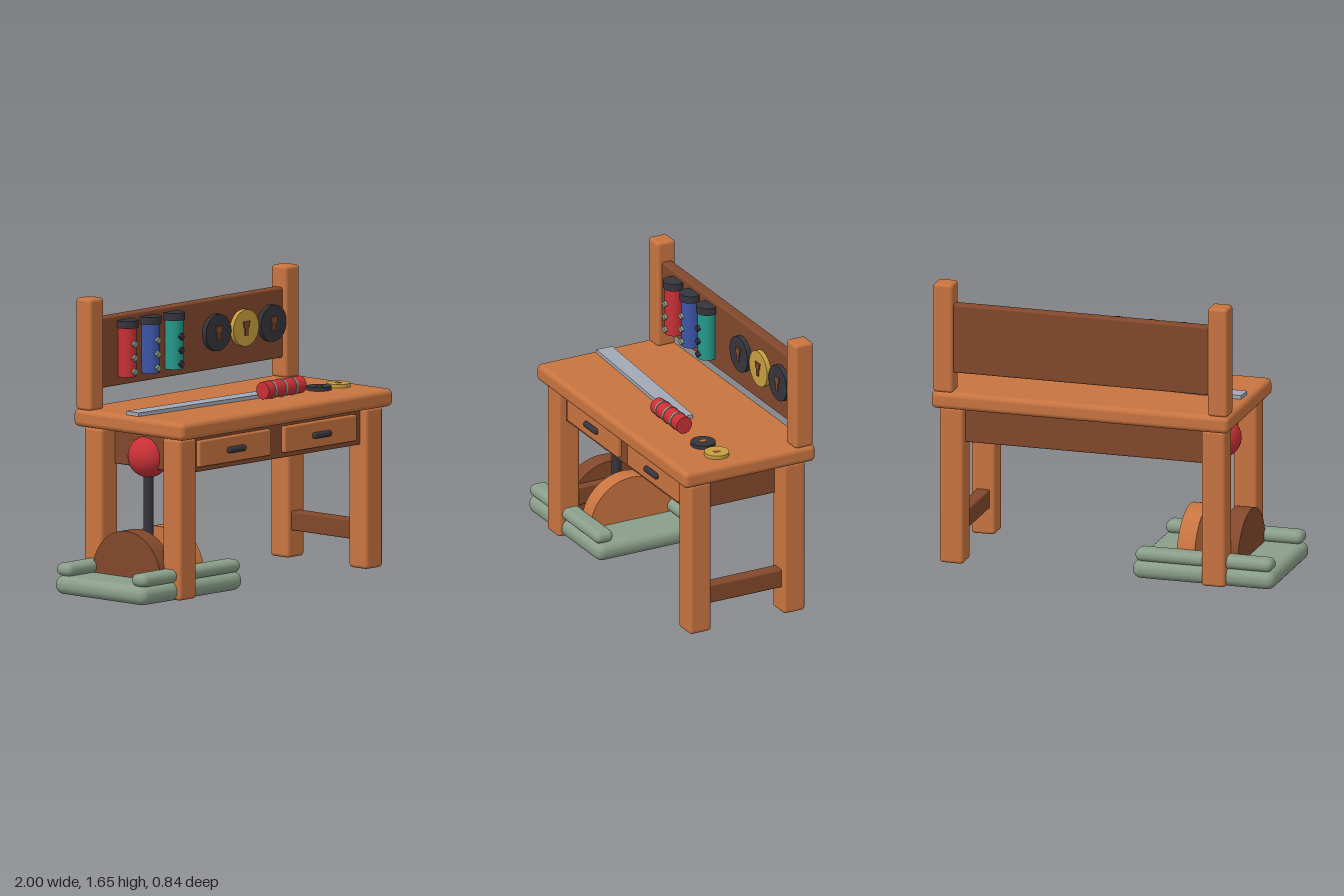
import * as THREE from 'three';
import { RoundedBoxGeometry } from 'three/addons/geometries/RoundedBoxGeometry.js';

export function createModel() {
  const group = new THREE.Group();
  const mat = (name, color) => new THREE.MeshStandardMaterial({ name, color });
  const wood = mat('oak wood', 0xc87440);
  const darkWood = mat('walnut wood', 0x82482c);
  const green = mat('sage green', 0x8a9e8a);
  const black = mat('charcoal', 0x35353c);
  const red = mat('red', 0xc83036);
  const blue = mat('blue', 0x3d55a8);
  const teal = mat('teal', 0x259a8c);
  const gold = mat('gold', 0xc89f3e);
  const steel = mat('steel', 0xa2a8b5);

  const add = (name, geometry, material, x = 0, y = 0, z = 0) => {
    const mesh = new THREE.Mesh(geometry, material);
    mesh.name = name;
    mesh.position.set(x, y, z);
    group.add(mesh);
    return mesh;
  };
  // Rounded box given by its limits on each axis
  const block = (name, material, [x0, x1], [y0, y1], [z0, z1], r = 0.015) =>
    add(name, new RoundedBoxGeometry(x1 - x0, y1 - y0, z1 - z0, 4, r), material,
      (x0 + x1) / 2, (y0 + y1) / 2, (z0 + z1) / 2);
  const cyl = (name, material, r, h, x, y, z) =>
    add(name, new THREE.CylinderGeometry(r, r, h, 36), material, x, y, z);

  // Table
  block('tableTop', wood, [-0.755, 0.995], [0.92, 1.02], [-0.42, 0.42], 0.03);
  for (const x of [-0.65, 0.89]) {
    for (const z of [-0.3, 0.3]) {
      block('leg', wood, [x - 0.07, x + 0.07], [0.005, 0.92], [z - 0.069, z + 0.069], 0.02);
    }
    block('stretcher', darkWood, [x - 0.04, x + 0.04], [0.16, 0.27], [-0.25, 0.25], 0.01);
  }
  block('apron', darkWood, [-0.61, 0.85], [0.71, 0.925], [-0.32, 0.32], 0.01);

  // Drawers with handles
  for (const x of [-0.2325, 0.4725]) {
    block('drawer', wood, [x - 0.298, x + 0.298], [0.74, 0.89], [0.3, 0.345], 0.01);
    block('drawerHandle', black, [x - 0.072, x + 0.072], [0.795, 0.83], [0.335, 0.368], 0.014);
  }

  // Tool board on two posts
  for (const x of [-0.6875, 0.9275]) {
    block('post', wood, [x - 0.0575, x + 0.0575], [1.015, 1.65], [-0.408, -0.292], 0.018);
  }
  block('toolBoard', darkWood, [-0.65, 0.89], [1.13, 1.53], [-0.385, -0.32], 0.012);

  // Capped canisters with diamond studs
  [[-0.44, red, green], [-0.248, blue, green], [-0.055, teal, black]].forEach(([x, body, stud]) => {
    cyl('canister', body, 0.053, 0.29, x, 1.325, -0.293);
    cyl('canisterCap', black, 0.062, 0.042, x, 1.48, -0.293);
    for (const y of [1.21, 1.288, 1.367]) {
      add('stud', new THREE.BoxGeometry(0.029, 0.029, 0.02), stud, x, y, -0.236).rotation.z = Math.PI / 4;
    }
  });

  // Hanging discs with keyhole plates
  const keyhole = new THREE.Shape([[-0.027, 0.038], [0.027, 0.038], [0.022, 0.006], [0.013, 0],
    [0.013, -0.042], [-0.013, -0.042], [-0.013, 0], [-0.022, 0.006]]
    .map(([x, y]) => new THREE.Vector2(x, y)));
  const keyholeGeometry = new THREE.ExtrudeGeometry(keyhole, { depth: 0.008, bevelEnabled: false });
  [[0.315, black], [0.543, gold], [0.77, black]].forEach(([x, material]) => {
    cyl('hangingDisc', material, 0.105, 0.03, x, 1.34, -0.308).rotation.x = Math.PI / 2;
    add('keyholePlate', keyholeGeometry, darkWood, x, 1.34, -0.294);
  });

  // Small discs lying on the table
  [[0.682, black], [0.841, gold]].forEach(([x, material]) => {
    cyl('tableDisc', material, 0.07, 0.022, x, 1.03, 0.135);
    add('discSlot', new THREE.BoxGeometry(0.025, 0.006, 0.035), wood, x, 1.041, 0.135);
  });

  // Blade and banded grip
  add('blade', new THREE.BoxGeometry(1.05, 0.022, 0.1), steel, -0.193, 1.03, 0.03).rotation.y = -0.053;
  cyl('grip', red, 0.049, 0.31, 0.348, 1.073, 0.157).rotation.z = Math.PI / 2;
  for (const x of [0.253, 0.342, 0.428]) {
    cyl('gripBand', green, 0.052, 0.013, x, 1.073, 0.157).rotation.z = Math.PI / 2;
  }

  // Pedal base with side rails
  block('pedalBase', green, [-1, -0.16], [0.002, 0.108], [-0.347, 0.347], 0.05);
  for (const z of [-0.287, 0.287]) {
    block('pedalRail', green, [-0.985, -0.178], [0.105, 0.178], [z - 0.057, z + 0.057], 0.035);
  }

  // Half-round cheeks either side of the lever
  const half = new THREE.Shape();
  half.absarc(0, 0, 0.262, 0, Math.PI, false);
  half.closePath();
  const cheek = new THREE.ExtrudeGeometry(half, { depth: 0.105, bevelEnabled: false, curveSegments: 28 });
  cheek.rotateY(Math.PI / 2);
  add('leftCheek', cheek, wood, -0.507, 0.106, 0);
  add('rightCheek', cheek, darkWood, -0.762, 0.106, 0);

  // Lever with a ball knob
  cyl('lever', black, 0.028, 0.62, -0.58, 0.41, 0);
  add('leverKnob', new THREE.SphereGeometry(0.118, 32, 20), red, -0.58, 0.773, 0);

  return group;
}
